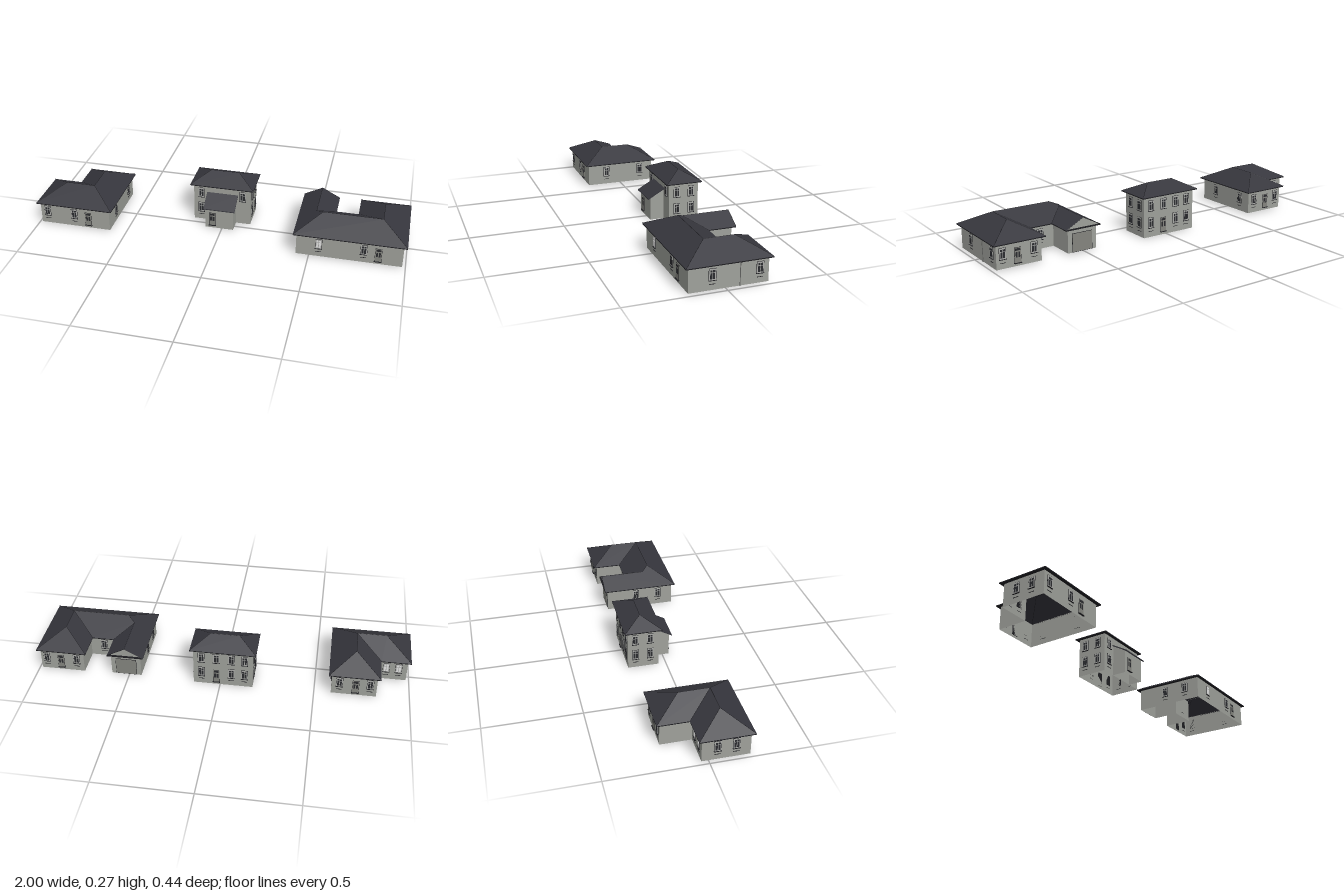
import * as THREE from 'three';

const mat = (name, color, double) => {
  const m = new THREE.MeshStandardMaterial({ color });
  m.name = name;
  if (double) m.side = THREE.DoubleSide;
  return m;
};

export function createModel() {
  const M = {
    wall: mat('wall plaster', 0x9fa19b, true),
    roof: mat('roof slate', 0x36363d, true),
    trim: mat('dark trim', 0x1e1e22),
    frame: mat('window frame', 0xa9aaa7),
    glass: mat('dark glass', 0x2a2b2f),
    pale: mat('pale glass', 0xe6e6e6),
    door: mat('door grey', 0x84857f),
    pipe: mat('pipe grey', 0x6a6b69),
  };
  const root = new THREE.Group();
  root.name = 'houses';
  const SLOPE = 0.53, INSET = 0.017;

  const add = (parent, name, geo, material, x = 0, y = 0, z = 0) => {
    const m = new THREE.Mesh(geo, material);
    m.name = name;
    m.position.set(x, y, z);
    parent.add(m);
    return m;
  };
  const box = (parent, name, w, h, d, material, x, y, z) =>
    add(parent, name, new THREE.BoxGeometry(w, h, d), material, x, y, z);

  // triangle fan surface from [x, y, z] loops
  const surface = (loops) => {
    const pos = [];
    for (const l of loops)
      for (let i = 1; i < l.length - 1; i++) pos.push(...l[0], ...l[i], ...l[i + 1]);
    const g = new THREE.BufferGeometry();
    g.setAttribute('position', new THREE.Float32BufferAttribute(pos, 3));
    g.computeVertexNormals();
    return g;
  };

  // moves an axis-aligned outline of [x, z] corners inwards
  const inset = (pts, d) => {
    const n = pts.length;
    const normal = (a, b) => [-Math.sign(b[1] - a[1]), Math.sign(b[0] - a[0])];
    return pts.map((p, i) => {
      const u = normal(pts[(i + n - 1) % n], p), v = normal(p, pts[(i + 1) % n]);
      return [p[0] + (u[0] + v[0]) * d, p[1] + (u[1] + v[1]) * d];
    });
  };

  const walls = (parent, name, pts, y0, y1) => {
    const loops = pts.map((a, i) => {
      const b = pts[(i + 1) % pts.length];
      return [[a[0], y0, a[1]], [a[0], y1, a[1]], [b[0], y1, b[1]], [b[0], y0, b[1]]];
    });
    add(parent, name, surface(loops), M.wall);
  };

  // walls, eaves board and sloping roof; roof points are [x, z, distance in from the eaves]
  const house = (name, outline, base, eave, faces) => {
    const g = new THREE.Group();
    g.name = name;
    root.add(g);
    const inner = inset(outline, INSET);
    walls(g, 'walls', inner, base, eave);
    const toV = (p) => new THREE.Vector2(p[0], p[1]);
    const shape = new THREE.Shape(outline.map(toV));
    shape.holes.push(new THREE.Path(inner.map(toV)));
    const eaves = new THREE.ExtrudeGeometry(shape, { depth: 0.005, bevelEnabled: false });
    add(g, 'eaves', eaves.rotateX(Math.PI / 2), M.trim, 0, eave, 0);

    const loops = faces.map((f) => {
      const l = f.map(([x, z, d]) => [x, eave + d * SLOPE, z]);
      const area = f.reduce((s, p, i) => {
        const q = f[(i + 1) % f.length];
        return s + p[0] * q[1] - q[0] * p[1];
      }, 0);
      return area > 0 ? l.reverse() : l;
    });
    add(g, 'roof', surface(loops), M.roof);
    // ridge and hip caps
    const seen = new Set();
    for (const l of loops) l.forEach((p, i) => {
      const q = l[(i + 1) % l.length];
      const key = [p.join(), q.join()].sort().join('|');
      if (seen.has(key) || Math.max(p[1], q[1]) < eave + 0.01) return;
      seen.add(key);
      const path = new THREE.LineCurve3(new THREE.Vector3(...p), new THREE.Vector3(...q));
      add(g, 'ridgeCap', new THREE.TubeGeometry(path, 1, 0.0013, 5), M.trim);
    });
    return g;
  };

  // holder on a wall; side is the way the wall faces
  const TURN = { front: 0, right: Math.PI / 2, back: Math.PI, left: -Math.PI / 2 };
  const holder = (parent, name, side, x, y, z) => {
    const g = new THREE.Group();
    g.name = name;
    g.position.set(x, y, z);
    g.rotation.y = TURN[side];
    parent.add(g);
    return g;
  };
  const win = (parent, side, x, z, y = 0.082, glass = M.glass, vent = true) => {
    const g = holder(parent, 'window', side, x, y, z);
    box(g, 'outline', 0.036, 0.058, 0.002, M.trim, 0, 0, 0.001);
    box(g, 'frame', 0.033, 0.055, 0.002, M.frame, 0, 0, 0.002);
    for (const s of [-1, 1]) {
      box(g, 'pane', 0.010, 0.029, 0.002, glass, s * 0.0066, -0.007, 0.003);
      box(g, 'topPane', 0.010, 0.010, 0.002, glass, s * 0.0066, 0.016, 0.003);
    }
    box(g, 'sill', 0.038, 0.002, 0.006, M.trim, 0, -0.029, 0.003);
    if (vent) box(g, 'vent', 0.03, 0.002, 0.003, M.trim, 0, -0.047, 0.001);
  };
  const door = (parent, side, x, z, y = 0.06) => {
    const g = holder(parent, 'door', side, x, y, z);
    box(g, 'outline', 0.036, 0.078, 0.002, M.trim, 0, 0, 0.001);
    box(g, 'leaf', 0.033, 0.075, 0.002, M.door, 0, 0, 0.002);
    box(g, 'fanlight', 0.026, 0.011, 0.002, M.glass, 0, 0.029, 0.003);
    for (const s of [-1, 1]) box(g, 'panel', 0.009, 0.026, 0.002, M.glass, s * 0.007, 0.003, 0.003);
    box(g, 'step', 0.04, 0.003, 0.008, M.trim, 0, -0.039, 0.004);
  };

  // L-shaped house
  const a = house('cornerHouse',
    [[-1, -0.053], [-0.842, -0.053], [-0.842, -0.212], [-0.572, -0.212], [-0.572, 0.217], [-1, 0.217]],
    0.006, 0.132, [
      [[-1, 0.217, 0], [-0.572, 0.217, 0], [-0.707, 0.082, 0.135], [-0.865, 0.082, 0.135]],
      [[-1, 0.217, 0], [-0.865, 0.082, 0.135], [-1, -0.053, 0]],
      [[-1, -0.053, 0], [-0.842, -0.053, 0], [-0.707, 0.082, 0.135], [-0.865, 0.082, 0.135]],
      [[-0.842, -0.053, 0], [-0.842, -0.212, 0], [-0.707, -0.077, 0.135], [-0.707, 0.082, 0.135]],
      [[-0.842, -0.212, 0], [-0.572, -0.212, 0], [-0.707, -0.077, 0.135]],
      [[-0.572, -0.212, 0], [-0.572, 0.217, 0], [-0.707, 0.082, 0.135], [-0.707, -0.077, 0.135]],
    ]);
  for (const x of [-0.945, -0.79]) win(a, 'front', x, 0.2);
  door(a, 'front', -0.71, 0.2);
  for (const z of [0.09, -0.12]) win(a, 'right', -0.589, z);
  for (const x of [-0.63, -0.79]) win(a, 'back', x, -0.195);
  door(a, 'back', -0.715, -0.195);
  for (const x of [-0.872, -0.938]) win(a, 'back', x, -0.036, 0.082, M.pale);
  for (const z of [0.04, 0.13]) win(a, 'left', -0.983, z);

  // two-storey house with porch
  const b = house('tallHouse',
    [[-0.191, -0.222], [0.16, -0.222], [0.16, -0.023], [-0.191, -0.023]], 0, 0.221, [
      [[-0.191, -0.023, 0], [0.16, -0.023, 0], [0.062, -0.1225, 0.0935], [-0.093, -0.1225, 0.0935]],
      [[-0.191, -0.222, 0], [0.16, -0.222, 0], [0.062, -0.1225, 0.0935], [-0.093, -0.1225, 0.0935]],
      [[-0.191, -0.222, 0], [-0.191, -0.023, 0], [-0.093, -0.1225, 0.0935]],
      [[0.16, -0.222, 0], [0.16, -0.023, 0], [0.062, -0.1225, 0.0935]],
    ]);
  for (const x of [-0.132, 0.1]) win(b, 'front', x, -0.04, 0.17, M.glass, false);
  win(b, 'front', -0.132, -0.04, 0.078);
  for (const y of [0.17, 0.078]) {
    for (const x of [0.1, -0.06, -0.13]) win(b, 'back', x, -0.205, y, M.glass, y < 0.1);
    for (const z of [-0.165, -0.085]) {
      win(b, 'left', -0.174, z, y, M.glass, y < 0.1);
      win(b, 'right', 0.143, z, y, M.glass, y < 0.1);
    }
  }
  win(b, 'back', 0.02, -0.205, 0.17, M.glass, false);
  door(b, 'back', 0.02, -0.205, 0.055);

  const porch = new THREE.Group();
  porch.name = 'porch';
  b.add(porch);
  walls(porch, 'porchWalls', [[-0.092, -0.04], [0.063, -0.04], [0.063, 0.037], [-0.092, 0.037]], 0, 0.126);
  add(porch, 'porchCheeks', surface([-0.092, 0.063].map((x) =>
    [[x, 0.126, 0.037], [x, 0.126, -0.04], [x, 0.17, -0.04]])), M.wall);
  const slab = new THREE.Shape([[-0.052, 0.118], [0.04, 0.17], [0.04, 0.176], [-0.052, 0.123]]
    .map((p) => new THREE.Vector2(...p)));
  const slabGeo = new THREE.ExtrudeGeometry(slab, { depth: 0.173, bevelEnabled: false });
  add(porch, 'porchRoof', slabGeo.rotateY(Math.PI / 2), M.roof, -0.1, 0, 0);
  door(porch, 'front', -0.053, 0.037, 0.055);

  // U-shaped house with a narrow gabled garage wing
  const c = house('courtyardHouse',
    [[0.415, -0.215], [0.611, -0.215], [0.611, -0.07], [0.728, -0.07],
      [0.728, -0.224], [1, -0.224], [1, 0.202], [0.415, 0.202]],
    0.006, 0.132, [
      [[0.415, 0.202, 0], [1, 0.202, 0], [0.864, 0.066, 0.136], [0.551, 0.066, 0.136]],
      [[0.415, 0.202, 0], [0.551, 0.066, 0.136], [0.513, 0.028, 0.098], [0.513, -0.215, 0.098], [0.415, -0.215, 0]],
      [[0.611, -0.215, 0], [0.611, -0.07, 0], [0.513, 0.028, 0.098], [0.513, -0.215, 0.098]],
      [[0.611, -0.07, 0], [0.728, -0.07, 0], [0.864, 0.066, 0.136], [0.551, 0.066, 0.136], [0.513, 0.028, 0.098]],
      [[0.728, -0.07, 0], [0.728, -0.224, 0], [0.864, -0.088, 0.136], [0.864, 0.066, 0.136]],
      [[0.728, -0.224, 0], [1, -0.224, 0], [0.864, -0.088, 0.136]],
      [[1, -0.224, 0], [1, 0.202, 0], [0.864, 0.066, 0.136], [0.864, -0.088, 0.136]],
    ]);
  add(c, 'gableWall', surface([[[0.42, 0.132, -0.205], [0.513, 0.181, -0.205], [0.606, 0.132, -0.205]]]), M.wall);
  win(c, 'front', 0.55, 0.185, 0.082, M.pale);
  win(c, 'front', 0.783, 0.185);
  door(c, 'front', 0.858, 0.185);
  for (const z of [0.07, -0.163]) win(c, 'right', 0.983, z);
  for (const x of [0.95, 0.785]) win(c, 'back', x, -0.207);
  door(c, 'back', 0.872, -0.207);
  win(c, 'back', 0.67, -0.053);
  for (const z of [-0.03, 0.1]) win(c, 'left', 0.432, z);
  const garage = holder(c, 'garageDoor', 'back', 0.513, 0.056, -0.198);
  box(garage, 'outline', 0.114, 0.098, 0.002, M.trim, 0, 0, 0.001);
  box(garage, 'leaf', 0.11, 0.094, 0.002, M.door, 0, 0, 0.002);

  // rainwater pipe
  const bend = new THREE.CatmullRomCurve3([[0.994, 0.128, -0.076], [0.987, 0.118, -0.066],
    [0.986, 0.105, -0.065], [0.986, 0.006, -0.065]].map((p) => new THREE.Vector3(...p)));
  add(c, 'rainPipe', new THREE.TubeGeometry(bend, 16, 0.002, 6), M.pipe);

  return root;
}
